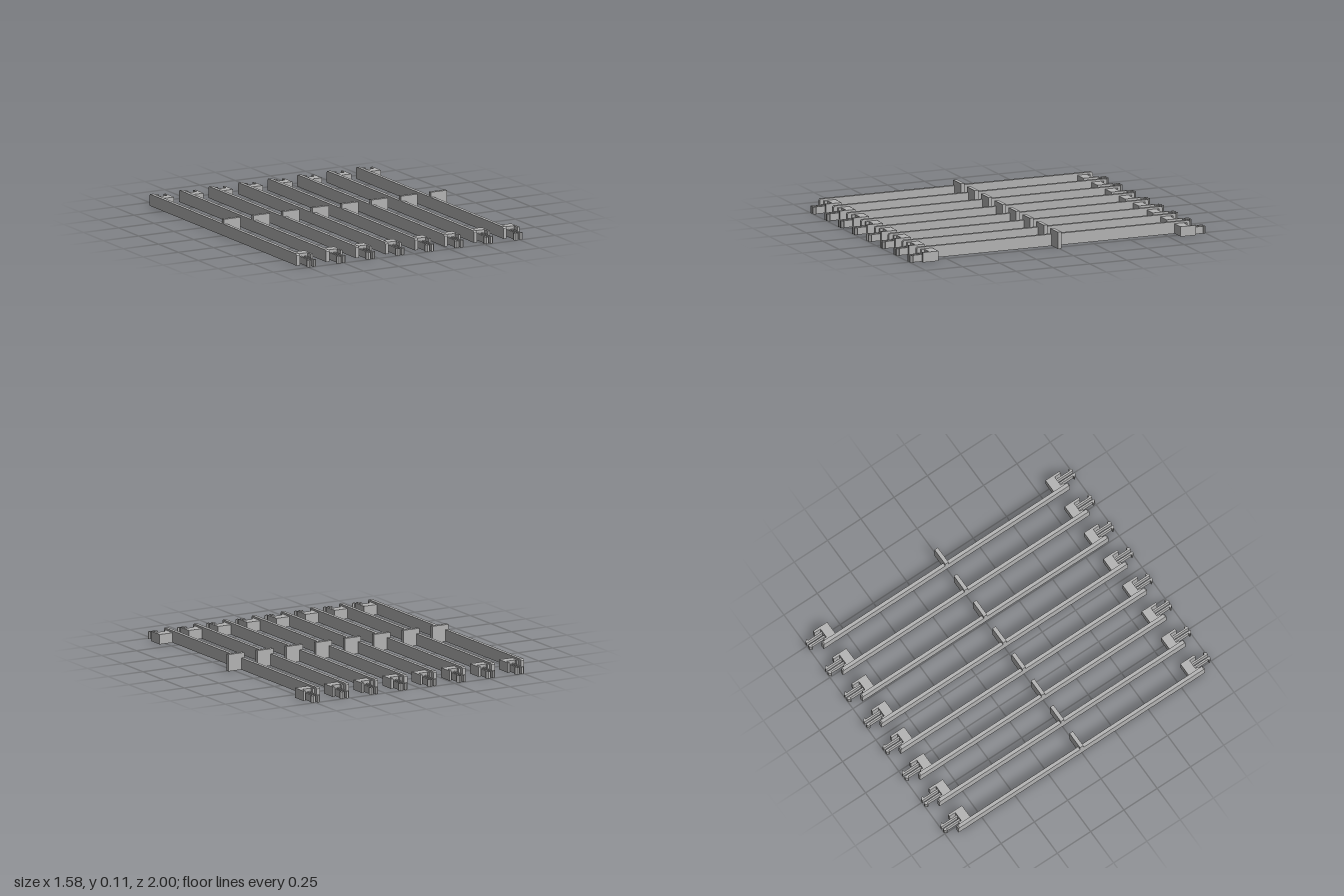
import * as THREE from 'three';

const COUNT = 8, PITCH = 0.2096, WIDTH = 0.116;

// Extrude a plan outline of [x, z] points upward from y = 0
function planExtrude(points, height) {
  const shape = new THREE.Shape(points.map(([x, z]) => new THREE.Vector2(x, -z)));
  const geo = new THREE.ExtrudeGeometry(shape, { depth: height, bevelEnabled: false });
  return geo.rotateX(-Math.PI / 2);
}

// Flip an outline to the other end of the rail
const atEnd = (points, s) => points.map(([x, z]) => [x, z * s]);

export function createModel() {
  const model = new THREE.Group();
  model.name = 'railSet';
  const grey = new THREE.MeshStandardMaterial({ color: 0xb4b4b4 });
  grey.name = 'plainGrey';

  // Rail: side profile in z and y with small clipped upper corners
  const profile = new THREE.Shape([
    [-0.925, 0], [0.925, 0], [0.925, 0.066], [0.917, 0.075], [-0.917, 0.075], [-0.925, 0.066],
  ].map(([z, y]) => new THREE.Vector2(z, y)));
  const railGeo = new THREE.ExtrudeGeometry(profile, { depth: 0.023, bevelEnabled: false });
  railGeo.rotateY(-Math.PI / 2).translate(0.023, 0, 0);

  // Upright plate at mid length
  const plateGeo = new THREE.BoxGeometry(WIDTH, 0.107, 0.025).translate(WIDTH / 2, 0.0535, 0);

  // Notched end block and a pair of outward hooked prongs
  const block = [
    [0.023, 0.82], [WIDTH, 0.82], [WIDTH, 0.925], [0.101, 0.925],
    [0.101, 0.88], [0.037, 0.88], [0.037, 0.9], [0.023, 0.9],
  ];
  const prong = [
    [0.008, 0.875], [0.02, 0.875], [0.02, 0.982], [0.032, 0.982],
    [0.032, 0.987], [0.02, 1], [0.008, 1],
  ];
  const parts = [['rail', railGeo], ['middlePlate', plateGeo]];
  for (const [end, s] of [['front', 1], ['back', -1]]) {
    parts.push([end + 'EndBlock', planExtrude(atEnd(block, s), 0.063)]);
    for (const [side, m] of [['Left', 1], ['Right', -1]]) {
      const outline = prong.map(([x, z]) => [0.069 + m * x, z]);
      parts.push([end + side + 'Prong', planExtrude(atEnd(outline, s), 0.045)]);
    }
  }

  // Repeat the rail assembly across x
  const start = -((COUNT - 1) * PITCH + WIDTH) / 2;
  for (let i = 0; i < COUNT; i++) {
    const unit = new THREE.Group();
    unit.name = 'railUnit' + (i + 1);
    for (const [name, geo] of parts) {
      const mesh = new THREE.Mesh(geo, grey);
      mesh.name = name;
      unit.add(mesh);
    }
    unit.position.x = start + i * PITCH;
    model.add(unit);
  }
  return model;
}
